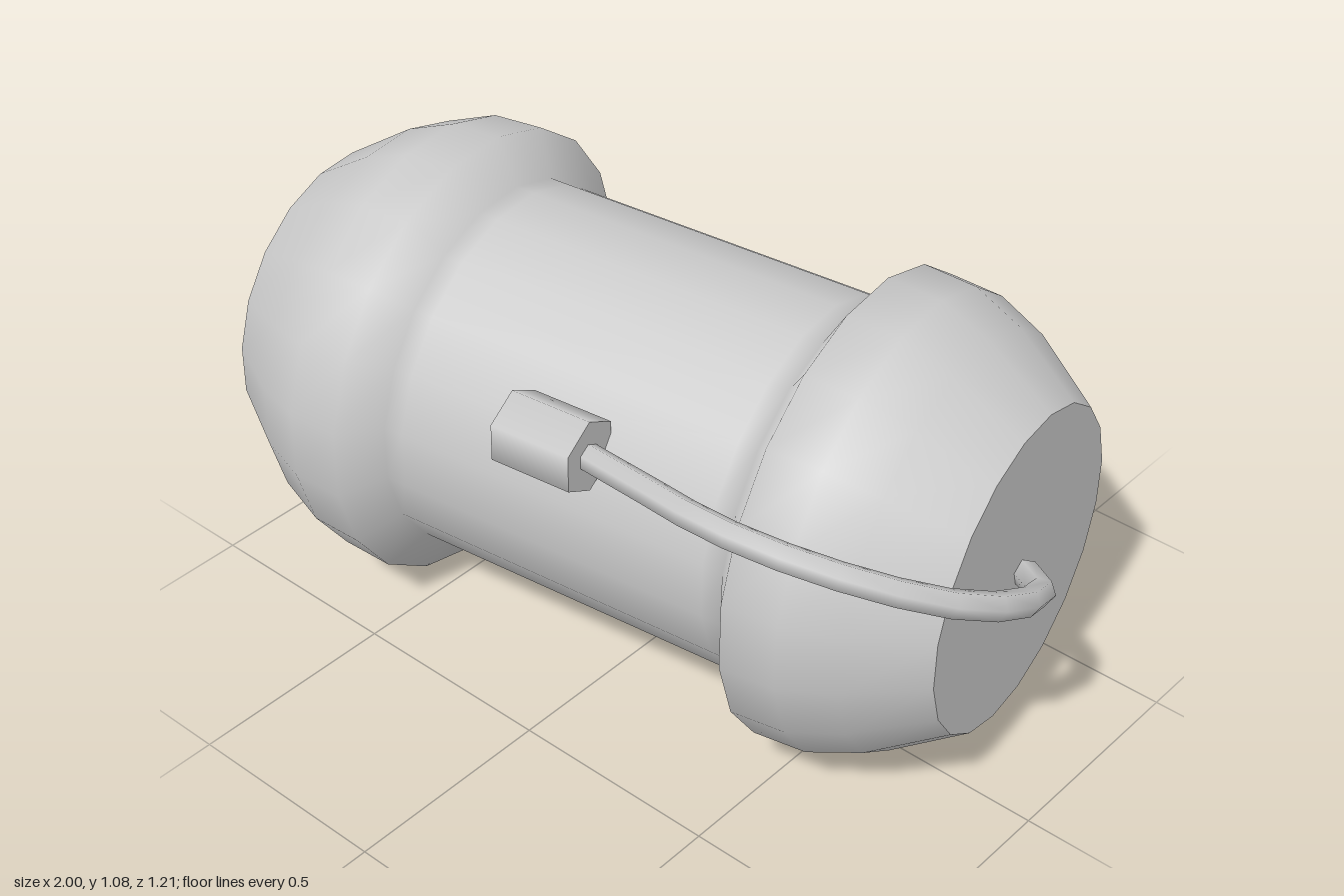
import * as THREE from 'three';

const SIDES = 20;
const HALF = 0.903;
const CAP_RADIUS = 0.372;

export function createModel() {
  const model = new THREE.Group();
  const material = new THREE.MeshStandardMaterial({ color: 0xcccccc });
  const add = (parent, name, geometry) => {
    const mesh = new THREE.Mesh(geometry, material);
    mesh.name = name;
    parent.add(mesh);
    return mesh;
  };

  // Canister lies along x, turned and tipped slightly
  const canister = new THREE.Group();
  canister.name = 'canister';
  canister.position.set(-0.055, 0.546, -0.0075);
  canister.rotation.set(0, THREE.MathUtils.degToRad(7.8), THREE.MathUtils.degToRad(-1));
  model.add(canister);

  // Half profile [radius, distance along axis], mirrored: tapered end, collar, lip, barrel
  const half = [
    [CAP_RADIUS, HALF], [0.481, 0.743], [0.53, 0.624],
    [0.538, 0.498], [0.437, 0.438], [0.437, 0.39],
  ];
  const profile = [
    ...half.map(([r, t]) => new THREE.Vector2(r, -t)),
    ...half.slice().reverse().map(([r, t]) => new THREE.Vector2(r, t)),
  ];
  const shell = new THREE.LatheGeometry(profile, SIDES, Math.PI / SIDES);
  shell.rotateZ(-Math.PI / 2);
  add(canister, 'shell', shell);

  // Flat end faces
  for (const side of [-1, 1]) {
    const cap = new THREE.CircleGeometry(CAP_RADIUS, SIDES, Math.PI / SIDES);
    cap.rotateY(side * Math.PI / 2);
    cap.translate(side * HALF, 0, 0);
    add(canister, side > 0 ? 'leftEndFace' : 'rightEndFace', cap);
  }

  // Six-sided connector on the front of the barrel
  const plug = new THREE.CylinderGeometry(0.088, 0.088, 0.195, 6, 1, false, Math.PI / 2);
  plug.rotateZ(-Math.PI / 2);
  const connector = add(model, 'connector', plug);
  connector.position.set(0.022, 0.774, 0.42);
  connector.rotation.copy(canister.rotation);

  // Cable looping from the connector to the middle of the left end
  const path = new THREE.CatmullRomCurve3([
    [0.08, 0.77, 0.405], [0.28, 0.795, 0.435], [0.5, 0.818, 0.462],
    [0.68, 0.81, 0.43], [0.84, 0.765, 0.335], [0.935, 0.705, 0.215],
    [0.967, 0.64, 0.08], [0.935, 0.568, -0.06], [0.85, 0.53, -0.13],
  ].map((p) => new THREE.Vector3(...p)));
  add(model, 'cable', new THREE.TubeGeometry(path, 12, 0.031, 6));

  return model;
}
